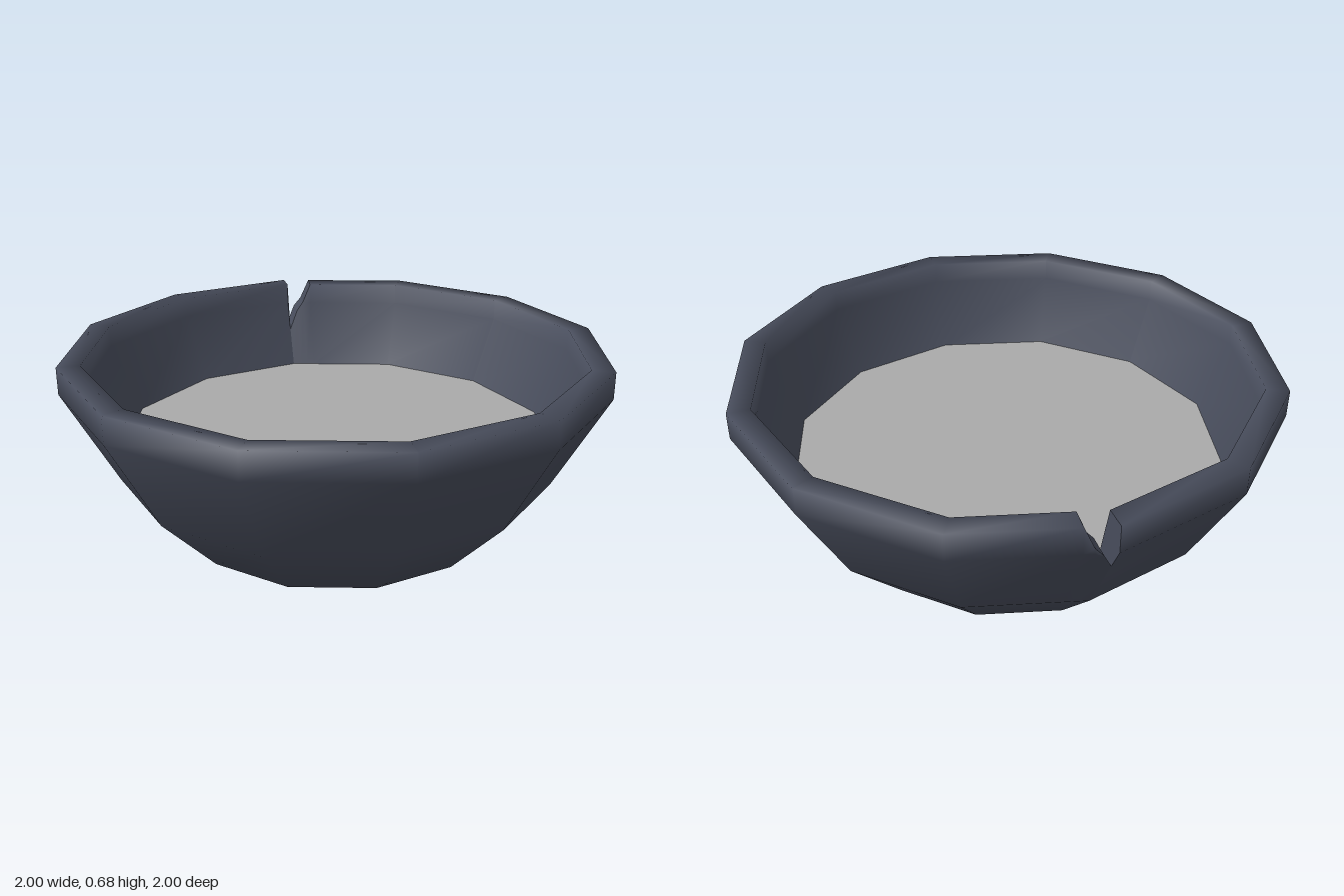
import * as THREE from 'three';

const SIDES = 12;
const TURN = -4 * Math.PI / 180;
const TOP = 0.68;
const LIQUID_Y = 0.35;

// Wall section: under the base, up the outside, over the rim, down the inside
const OUTER = [[0, 0], [0.59, 0], [0.81, 0.23], [1.003, 0.58], [1.003, TOP]];
const INNER = [[0.92, TOP], [0.92, 0.6], [0.803, LIQUID_Y]];

// Chip in the rim: position along one side, and the height left standing
const CHIP_SIDE = 8;
const CHIP = [[0, 0.49], [0.08, 0.565], [0.14, 0.6], [0.21, TOP]];

function direction(k, t = 0) {
  const at = (i) => {
    const a = TURN + i * 2 * Math.PI / SIDES;
    return new THREE.Vector2(Math.cos(a), Math.sin(a));
  };
  return at(k).lerp(at(k + 1), t);
}

// Lower every point above the cut to where the wall meets it
function trim(points, cut) {
  const low = (a, b) => (a[1] < b[1] ? [a, b] : [b, a]);
  let meet = null;
  for (let i = 1; i < points.length; i++) {
    const [a, b] = low(points[i - 1], points[i]);
    if (a[1] < cut && b[1] >= cut) {
      meet = [a[0] + (b[0] - a[0]) * (cut - a[1]) / (b[1] - a[1]), cut];
    }
  }
  return points.map((p) => (p[1] > cut ? meet : p));
}

function makeGeometry(positions, index) {
  const g = new THREE.BufferGeometry();
  g.setAttribute('position', new THREE.Float32BufferAttribute(positions, 3));
  g.setIndex(index);
  return g;
}

export function createModel() {
  const group = new THREE.Group();
  group.name = 'chippedBowl';
  const bowlMaterial = new THREE.MeshStandardMaterial({ color: 0x484d5c });
  bowlMaterial.name = 'dark slate';
  const liquidMaterial = new THREE.MeshStandardMaterial({ color: 0xaaaaaa });
  liquidMaterial.name = 'pale grey';

  // Columns around the bowl, with extra ones stepping through the chip
  const columns = [];
  for (let k = 0; k < SIDES; k++) {
    columns.push({ dir: direction(k), cut: TOP });
    if (k === CHIP_SIDE) {
      CHIP.forEach(([t, cut], i) => columns.push({
        dir: direction(k, t), cut, cap: i === 0, chip: true,
      }));
    }
  }

  const positions = [];
  for (const { dir, cut } of columns) {
    for (const [r, y] of [...trim(OUTER, cut), ...trim(INNER, cut)]) {
      positions.push(r * dir.x, y, r * dir.y);
    }
  }

  // Join the columns, keeping the broken faces apart from the smooth wall
  const n = OUTER.length + INNER.length;
  const rim = OUTER.length - 1;
  const wall = [];
  const broken = [];
  columns.forEach((col, i) => {
    const j = (i + 1) % columns.length;
    const next = columns[j];
    for (let k = 0; k < n - 1; k++) {
      const a = i * n + k, d = j * n + k;
      const isBroken = next.cap || (k === rim && col.chip && next.chip);
      (isBroken ? broken : wall).push(a, a + 1, d, a + 1, d + 1, d);
    }
  });

  const wallGeometry = makeGeometry(positions, wall);
  wallGeometry.computeVertexNormals();
  const bowl = new THREE.Mesh(wallGeometry, bowlMaterial);
  bowl.name = 'bowl';
  group.add(bowl);

  const brokenGeometry = makeGeometry(positions, broken).toNonIndexed();
  brokenGeometry.computeVertexNormals();
  const chip = new THREE.Mesh(brokenGeometry, bowlMaterial);
  chip.name = 'rimChip';
  group.add(chip);

  // Liquid surface filling the inside
  const liquid = new THREE.Mesh(
    new THREE.CircleGeometry(0.803, SIDES, -TURN), liquidMaterial);
  liquid.rotation.x = -Math.PI / 2;
  liquid.position.y = LIQUID_Y;
  liquid.name = 'liquid';
  group.add(liquid);

  return group;
}
